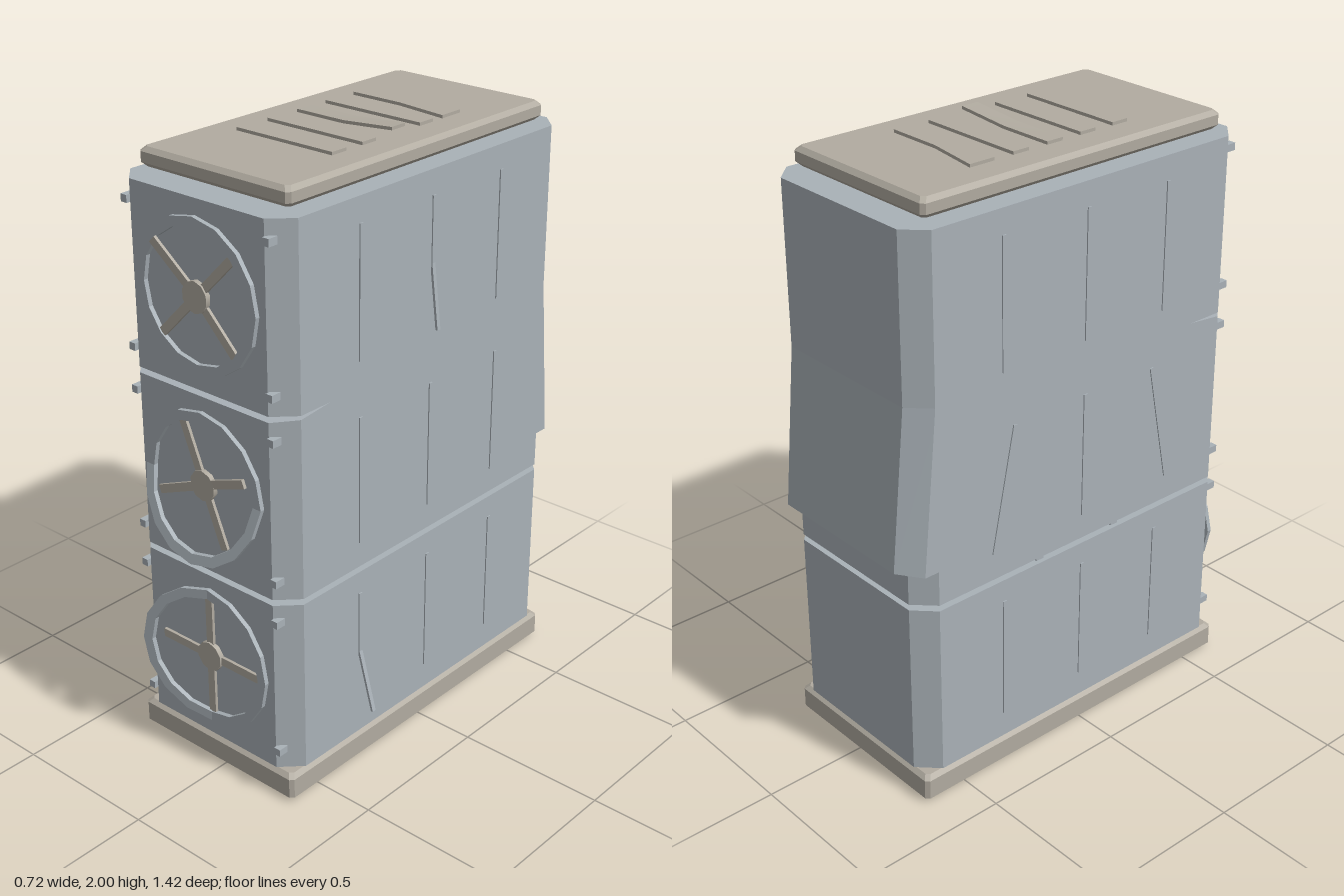
import * as THREE from 'three';

const bodyGrey = new THREE.MeshStandardMaterial({ color: 0xa9b1b7 });
bodyGrey.name = 'body grey';
const trimBeige = new THREE.MeshStandardMaterial({ color: 0xb1aba0 });
trimBeige.name = 'trim beige';

const CX = -0.03, CZ = -0.015;   // centre line of the cabinet
const FRONT = 0.63;              // z of the front panel
const ROWS = [1.61, 1.01, 0.41]; // heights of the three sections

function add(parent, name, geometry, material, x = 0, y = 0, z = 0) {
  const mesh = new THREE.Mesh(geometry, material);
  mesh.name = name;
  mesh.position.set(x, y, z);
  parent.add(mesh);
  return mesh;
}

// Box with cut corners, lofted through layers of [height, inset, rule(point)]
function cutCornerBox(w, d, cut, layers) {
  const rings = layers.map(([y, inset, rule]) => {
    const a = w / 2 - inset, b = d / 2 - inset;
    const half = [[a - cut, b], [a, b - cut], [a, Math.min(0.455, b - cut)], [a, cut - b], [a - cut, -b]];
    const all = [...half, ...half.slice().reverse().map(([x, z]) => [-x, z])];
    return all.map(([x, z]) => {
      const p = new THREE.Vector3(x + CX, y, z + CZ);
      if (rule) rule(p);
      return p;
    });
  });
  const pos = [];
  const quad = (a, b, c, e) => [a, b, c, a, c, e].forEach((p) => pos.push(p.x, p.y, p.z));
  const n = rings[0].length, bottom = rings[0], top = rings[rings.length - 1];
  for (let k = 0; k + 1 < rings.length; k++) {
    const l = rings[k], u = rings[k + 1];
    for (let i = 0; i < n; i++) {
      const j = (i + 1) % n;
      quad(l[i], l[j], u[j], u[i]);
    }
  }
  for (let i = 0; i < n / 2 - 1; i++) {
    const j = n - 1 - i;
    quad(top[i], top[i + 1], top[j - 1], top[j]);
    quad(bottom[j], bottom[j - 1], bottom[i + 1], bottom[i]);
  }
  const g = new THREE.BufferGeometry();
  g.setAttribute('position', new THREE.Float32BufferAttribute(pos, 3));
  g.computeVertexNormals();
  return g;
}

function moveVertices(g, rule) {
  const p = g.attributes.position, v = new THREE.Vector3();
  for (let i = 0; i < p.count; i++) {
    v.fromBufferAttribute(p, i);
    rule(v);
    p.setXYZ(i, v.x, v.y, v.z);
  }
  g.computeVertexNormals();
  return g;
}

// Fan: rim bent outward along (dx, dy), hub and four spokes, one of them loose
function fan(y, turn, dx, dy, bend, looseSpoke) {
  const group = new THREE.Group();
  group.name = 'fan';
  group.position.set(CX, y, FRONT);
  const ring = new THREE.Shape().absarc(0, 0, 0.24, 0, Math.PI * 2);
  ring.holes.push(new THREE.Path().absarc(0, 0, 0.208, 0, Math.PI * 2, true));
  const rim = new THREE.ExtrudeGeometry(ring, { depth: 0.015, bevelEnabled: false, curveSegments: 8 });
  moveVertices(rim, (v) => { v.z += bend * Math.max(0, v.x * dx + v.y * dy); });
  add(group, 'fanRim', rim, bodyGrey);
  const hub = new THREE.CylinderGeometry(0.05, 0.05, 0.016, 10).rotateX(Math.PI / 2);
  add(group, 'fanHub', hub, trimBeige, 0, 0, 0.008);
  for (let i = 0; i < 4; i++) {
    const arm = new THREE.Group();
    arm.name = 'spokeArm';
    arm.rotation.z = turn + i * Math.PI / 2;
    const spoke = add(arm, 'fanSpoke', new THREE.BoxGeometry(0.208, 0.028, 0.01).translate(0.104, 0, 0.005), trimBeige);
    if (i === looseSpoke) spoke.rotation.y = -0.12;
    group.add(arm);
  }
  return group;
}

export function createModel() {
  const model = new THREE.Group();
  model.name = 'damagedCabinet';

  // Plinth and lid with bevelled edges
  const slab = (w, d, y0, y1) => cutCornerBox(w, d, 0.012,
    [[y0, 0.014], [y0 + 0.014, 0], [y1 - 0.014, 0], [y1, 0.014]]);
  add(model, 'base', slab(0.66, 1.29, 0.005, 0.1), trimBeige);
  add(model, 'lid', slab(0.59, 1.16, 1.915, 1.975), trimBeige);

  // Cabinet sections: the back panel flares out and the front seam gapes
  const flare = (p) => { if (p.z < -0.5) p.z -= 0.094 * Math.max(0, 1.37 - p.y); };
  const gape = (p) => { flare(p); p.y -= Math.max(0, p.z - 0.44) * 0.1; };
  const flareLip = (p) => { flare(p); if (p.z < -0.65) p.y += 0.012; };
  add(model, 'lowerSection', cutCornerBox(0.66, 1.29, 0.065, [[0.11, 0], [0.695, 0]]), bodyGrey);
  add(model, 'middleSection', cutCornerBox(0.66, 1.29, 0.065,
    [[0.715, 0], [0.832, 0], [0.832, 0, flareLip], [1.315, 0, gape]]), bodyGrey);
  add(model, 'upperSection', cutCornerBox(0.66, 1.29, 0.065,
    [[1.315, 0, flare], [1.37, 0], [1.9, 0]]), bodyGrey);

  // Short connectors in the gaps
  for (const [x, z] of [[-0.33, 0.14], [-0.14, -0.145], [-0.33, -0.18]]) {
    add(model, 'connector', new THREE.BoxGeometry(0.03, 0.03, 0.03), bodyGrey, x, 0.705, z);
  }

  // Fans
  model.add(fan(ROWS[0], Math.PI / 4, 0, 0, 0, 1));
  model.add(fan(ROWS[1], 0.39, 0, -1, 0.26, 0));
  model.add(fan(ROWS[2], 0, -1, 0, 0.23, -1));

  // Corner bolts
  for (const y of ROWS) for (const dy of [-0.23, 0.23]) for (const s of [-1, 1]) {
    add(model, 'bolt', new THREE.BoxGeometry(0.024, 0.024, 0.035), bodyGrey, CX + s * 0.28, y + dy, 0.624);
  }

  // Side ribs, some knocked loose
  const ribHalf = (x, y, z, dir) =>
    add(model, 'sideRib', new THREE.BoxGeometry(0.008, 0.21, 0.014).translate(0, dir * 0.105, 0), bodyGrey, x, y, z);
  ROWS.forEach((y, row) => [0.31, -0.015, -0.34].forEach((z, col) => {
    for (const s of [-1, 1]) {
      const x = CX + s * 0.33;
      const up = ribHalf(x, y, z, 1), down = ribHalf(x, y, z, -1);
      if (s > 0 && row === 0 && col === 1) down.rotation.z = 0.12;
      if (s > 0 && row === 2 && col === 0) down.rotation.z = 0.27;
      if (s < 0 && row === 1 && col !== 1) {
        up.rotation.x = down.rotation.x = col === 0 ? -0.2 : 0.2;
      }
    }
  }));

  // Vent slats on the lid, the first twisted and the middle one lifted
  for (let i = 0; i < 5; i++) {
    const slat = new THREE.BoxGeometry(0.376, 0.01, 0.06, 2, 1, 1);
    moveVertices(slat, (v) => {
      if (i === 0 && v.x < -0.1 && v.z < 0) v.z -= 0.03;
      if (i === 0 && v.x > 0.1 && v.z > 0) v.z += 0.025;
      if (i === 2 && v.x > 0.1) v.y += 0.015;
    });
    add(model, 'ventSlat', slat, trimBeige, CX, 1.98, -0.28 + i * 0.13);
  }
  return model;
}
